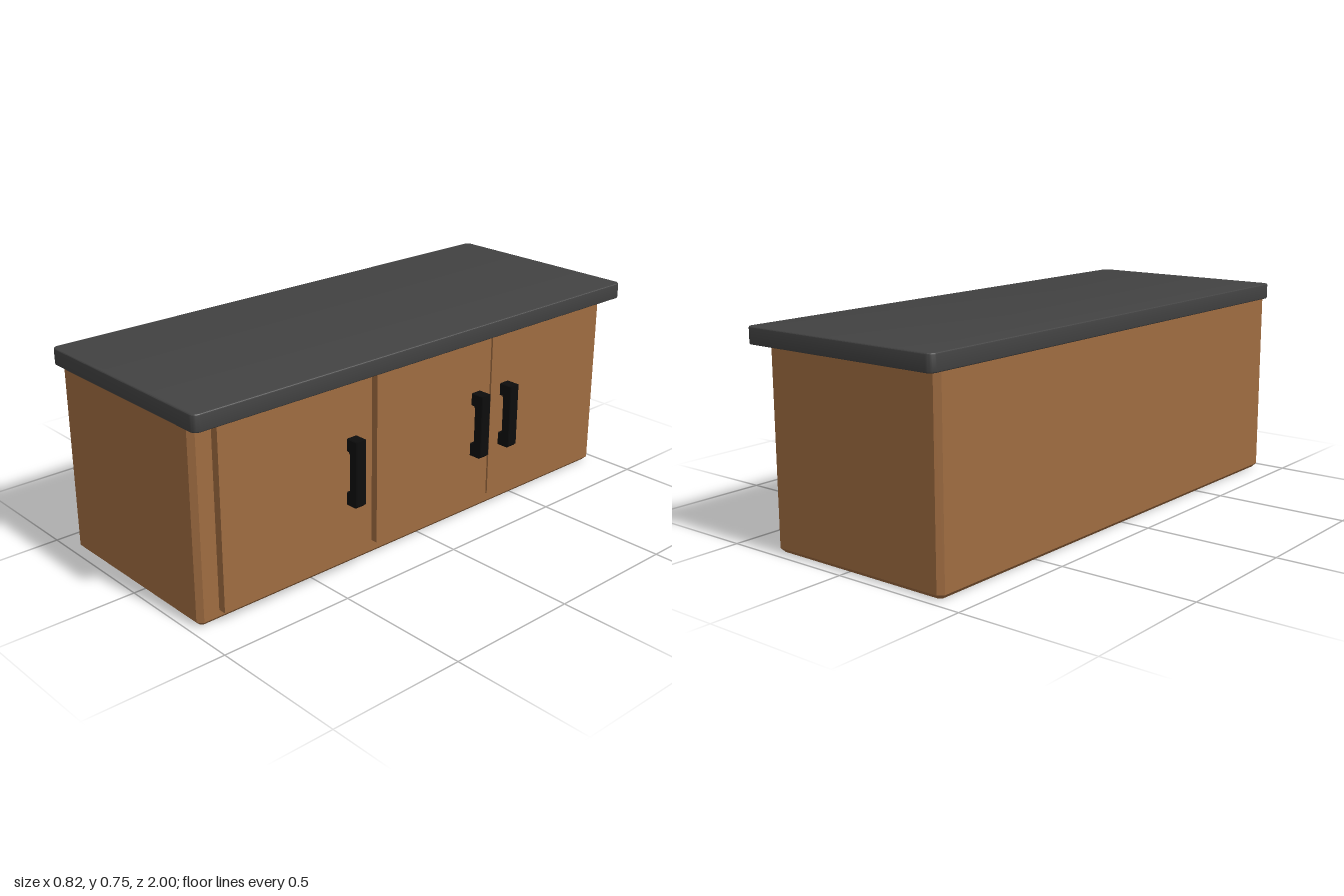
import * as THREE from 'three';
import { toCreasedNormals } from 'three/addons/utils/BufferGeometryUtils.js';

const material = (name, color) => {
  const m = new THREE.MeshStandardMaterial({ color });
  m.name = name;
  return m;
};

// Outline from a list of [x, y] corners
const outline = (points) => new THREE.Shape(points.map(([x, y]) => new THREE.Vector2(x, y)));

// Extrusion with a bevel that stays inside the outline and the given depth
function bevelled(shape, depth, bevel, bevelSegments = 1) {
  return new THREE.ExtrudeGeometry(shape, {
    depth: depth - 2 * bevel, bevelThickness: bevel, bevelSize: bevel,
    bevelOffset: -bevel, bevelSegments, curveSegments: 4,
  }).translate(0, 0, bevel);
}

// Rectangle with chamfered corners
function chamferedRect(x0, x1, y0, y1, c) {
  return outline([
    [x0 + c, y0], [x1 - c, y0], [x1, y0 + c], [x1, y1 - c],
    [x1 - c, y1], [x0 + c, y1], [x0, y1 - c], [x0, y0 + c],
  ]);
}

// Rectangle with round corners
function roundedRect(x0, x1, y0, y1, r) {
  const s = new THREE.Shape();
  s.absarc(x1 - r, y0 + r, r, -Math.PI / 2, 0);
  s.absarc(x1 - r, y1 - r, r, 0, Math.PI / 2);
  s.absarc(x0 + r, y1 - r, r, Math.PI / 2, Math.PI);
  s.absarc(x0 + r, y0 + r, r, Math.PI, Math.PI * 1.5);
  return s;
}

export function createModel() {
  const group = new THREE.Group();
  group.name = 'kitchenCounter';
  const wood = material('wood', 0x9f6c41);
  const stone = material('dark stone', 0x424242);
  const black = material('black metal', 0x0d0d0d);

  const add = (name, geometry, mat) => {
    const mesh = new THREE.Mesh(geometry, mat);
    mesh.name = name;
    group.add(mesh);
    return mesh;
  };

  // Cabinet with chamfered edges, its top bevel hidden in the worktop
  const cabinet = bevelled(chamferedRect(-0.404, 0.33, -0.97, 0.97, 0.018), 0.715, 0.016);
  add('cabinet', cabinet.rotateX(-Math.PI / 2), wood);

  // Worktop with softened rim
  const top = bevelled(roundedRect(-0.408, 0.398, -1, 1, 0.024), 0.06, 0.006, 3);
  top.rotateX(-Math.PI / 2).translate(0, 0.695, 0);
  add('worktop', toCreasedNormals(top, 0.5), stone);

  // Doors on the +x side, each with a bracket handle
  const doors = [
    { z0: 0.305, z1: 0.893, y0: 0.04, y1: 0.685, x: 0.36, handle: 0.354 },
    { z0: -0.317, z1: 0.237, y0: 0.055, y1: 0.691, x: 0.356, handle: -0.246 },
    { z0: -0.89, z1: -0.325, y0: 0.062, y1: 0.688, x: 0.356, handle: -0.396 },
  ];
  const handleShape = outline([
    [0.345, 0.247], [0.398, 0.247], [0.408, 0.257], [0.408, 0.49],
    [0.345, 0.49], [0.345, 0.443], [0.366, 0.443], [0.371, 0.435],
    [0.371, 0.305], [0.366, 0.297], [0.345, 0.297],
  ]);
  for (const d of doors) {
    const door = new THREE.BoxGeometry(0.04, d.y1 - d.y0, d.z1 - d.z0);
    add('door', door, wood).position.set(d.x - 0.02, (d.y0 + d.y1) / 2, (d.z0 + d.z1) / 2);
    const handle = bevelled(handleShape, 0.044, 0.003);
    add('handle', handle, black).position.z = d.handle - 0.022;
  }
  return group;
}
